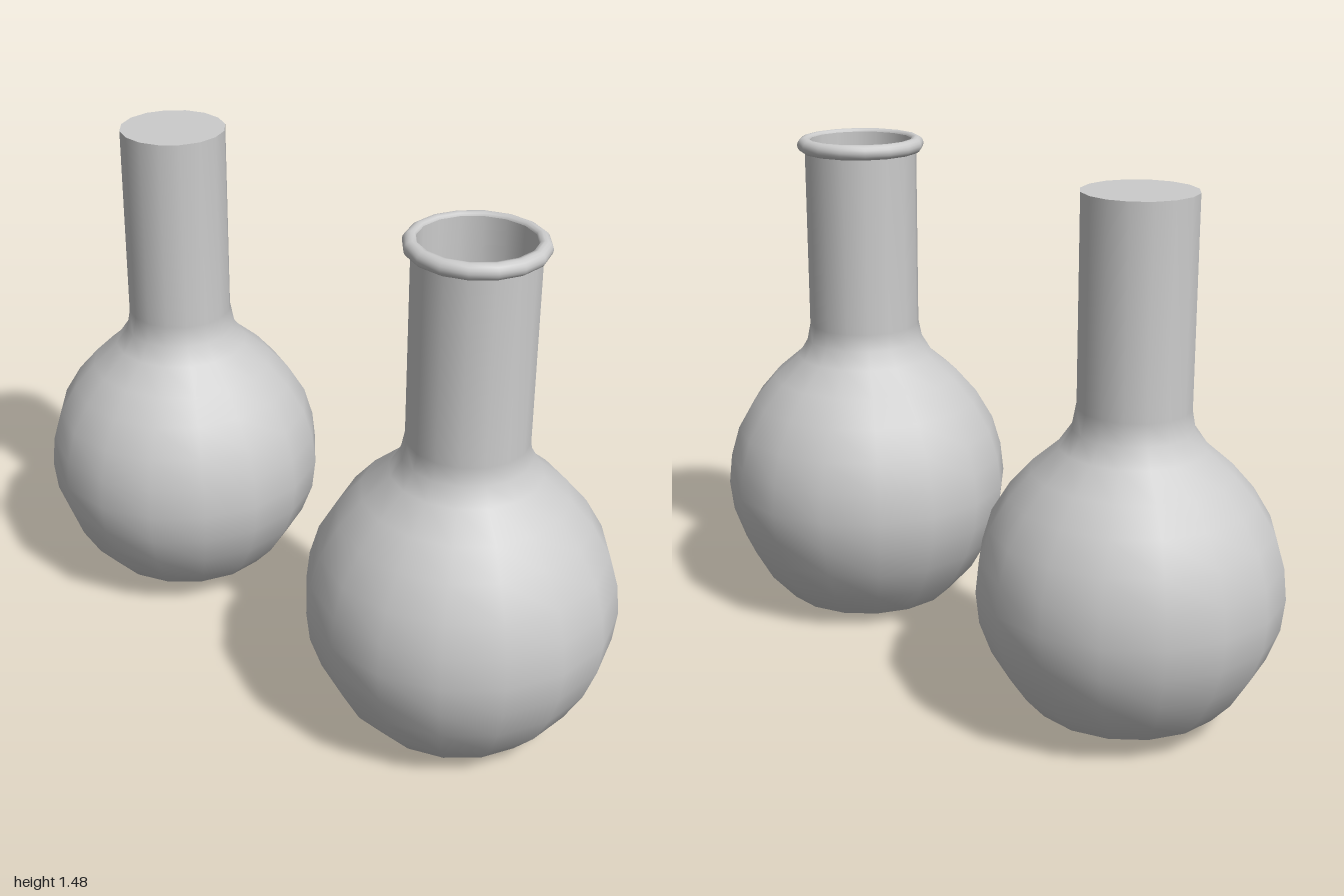
import * as THREE from 'three';

const SIDES = 16;
const HALF = Math.PI / SIDES;
const FLAT = 1 / Math.cos(HALF); // flat-to-flat radius -> corner radius

const material = new THREE.MeshStandardMaterial({ color: 0xcccccc });

// Sixteen-sided turned part; the flats face the axes
function turned(name, profile) {
  const points = profile.map(([r, y]) => new THREE.Vector2(r * FLAT, y));
  const mesh = new THREE.Mesh(new THREE.LatheGeometry(points, SIDES, HALF), material);
  mesh.name = name;
  return mesh;
}

// Bulb and shoulder from above the base up to the foot of the neck
const outerBulb = [
  [0.26, 0.035], [0.335, 0.12], [0.387, 0.215], [0.42, 0.31], [0.43, 0.4], [0.42, 0.49],
  [0.394, 0.58], [0.343, 0.67], [0.28, 0.745], [0.205, 0.81], [0.175, 0.86], [0.165, 0.91],
];
const innerBulb = [
  [0.2, 0.037], [0.265, 0.07], [0.32, 0.132], [0.372, 0.22], [0.405, 0.31], [0.415, 0.4], [0.406, 0.49],
  [0.38, 0.58], [0.33, 0.665], [0.27, 0.735], [0.197, 0.8], [0.163, 0.85], [0.152, 0.91],
];

// Hollow flask with a dimpled base and a beaded lip
function createFlask() {
  const flask = new THREE.Group();
  flask.name = 'flask';

  flask.add(turned('outerWall', [
    [0, 0.03], [0.08, 0.027], [0.14, 0.014], [0.185, 0.003],
    ...outerBulb, [0.165, 1.45],
  ]));

  // Lip: rounded bead over the mouth
  const lip = [];
  for (let i = 0; i <= 8; i++) {
    const a = -Math.PI / 2 + (i / 8) * Math.PI;
    lip.push([0.165 + 0.022 * Math.cos(a), 1.4625 + 0.0225 * Math.sin(a)]);
  }
  flask.add(turned('lip', [[0.163, 1.44], ...lip, [0.155, 1.483], [0.152, 1.475]]));

  // Inner wall runs downwards so that it faces the cavity
  flask.add(turned('innerWall', [
    [0.152, 1.476], ...innerBulb.slice(1).reverse(), [0.2, 0.045], [0.1, 0.04], [0, 0.04],
  ]));
  return flask;
}

// Solid filling, shaped like the cavity of the flask
function createFilling() {
  const filling = new THREE.Group();
  filling.name = 'filling';
  filling.add(turned('fillingBody', [[0, 0.012], [0.1, 0.017], ...innerBulb, [0.152, 1.483]]));

  const top = new THREE.Mesh(new THREE.CircleGeometry(0.152 * FLAT, SIDES, HALF), material);
  top.name = 'fillingTop';
  top.rotation.x = -Math.PI / 2;
  top.position.y = 1.483;
  filling.add(top);
  return filling;
}

export function createModel() {
  const model = new THREE.Group();
  model.name = 'flaskAndFilling';
  const flask = createFlask();
  flask.position.x = 0.57;
  const filling = createFilling();
  filling.position.x = -0.585;
  model.add(flask, filling);
  return model;
}
